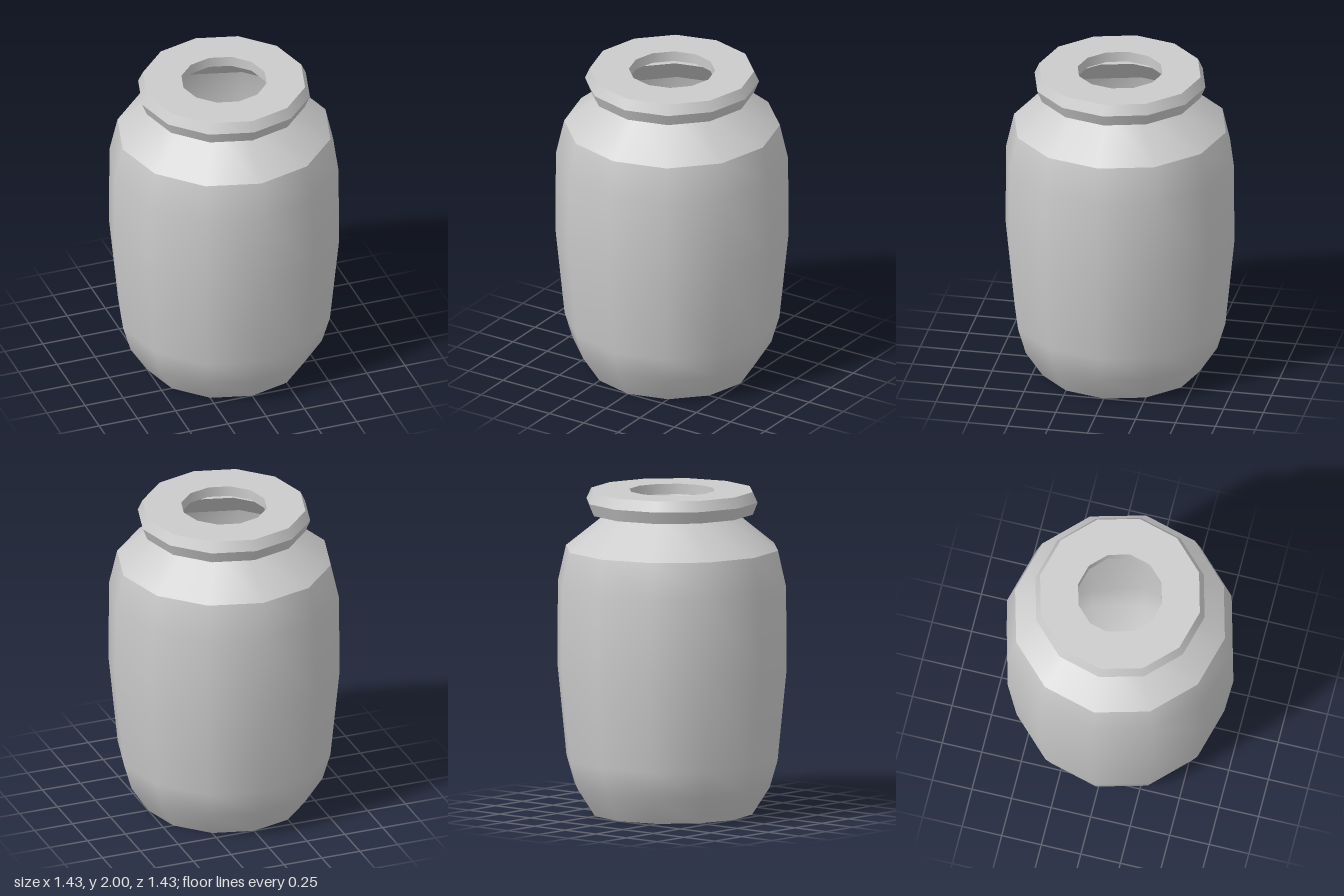
import * as THREE from 'three';

const SIDES = 12;

export function createModel() {
  const jar = new THREE.Group();
  jar.name = 'jar';
  const material = new THREE.MeshStandardMaterial({ color: 0xcccccc, side: THREE.DoubleSide });

  // Revolves one smooth run of [radius, height] points; separate runs meet in sharp edges.
  function addRing(parent, name, points) {
    const profile = points.map(([r, y]) => new THREE.Vector2(r, y));
    const mesh = new THREE.Mesh(new THREE.LatheGeometry(profile, SIDES), material);
    mesh.name = name;
    parent.add(mesh);
  }

  // Hollow vessel
  const vessel = new THREE.Group();
  vessel.name = 'vessel';
  jar.add(vessel);
  addRing(vessel, 'base', [[0, 0], [0.5, 0]]);
  addRing(vessel, 'body', [
    [0.5, 0], [0.61, 0.17], [0.66, 0.34], [0.717, 0.91], [0.713, 1.42], [0.663, 1.64],
  ]);
  addRing(vessel, 'shoulder', [[0.663, 1.64], [0.39, 1.86]]);

  // Bevelled lip, open in the middle
  const lip = new THREE.Group();
  lip.name = 'lip';
  jar.add(lip);
  addRing(lip, 'lipUnderside', [[0.39, 1.86], [0.505, 1.86]]);
  addRing(lip, 'lipLowerBevel', [[0.505, 1.86], [0.535, 1.935]]);
  addRing(lip, 'lipUpperBevel', [[0.535, 1.935], [0.505, 2]]);
  addRing(lip, 'lipTop', [[0.505, 2], [0.265, 2]]);
  addRing(lip, 'mouthWall', [[0.265, 2], [0.265, 1.935]]);

  return jar;
}
